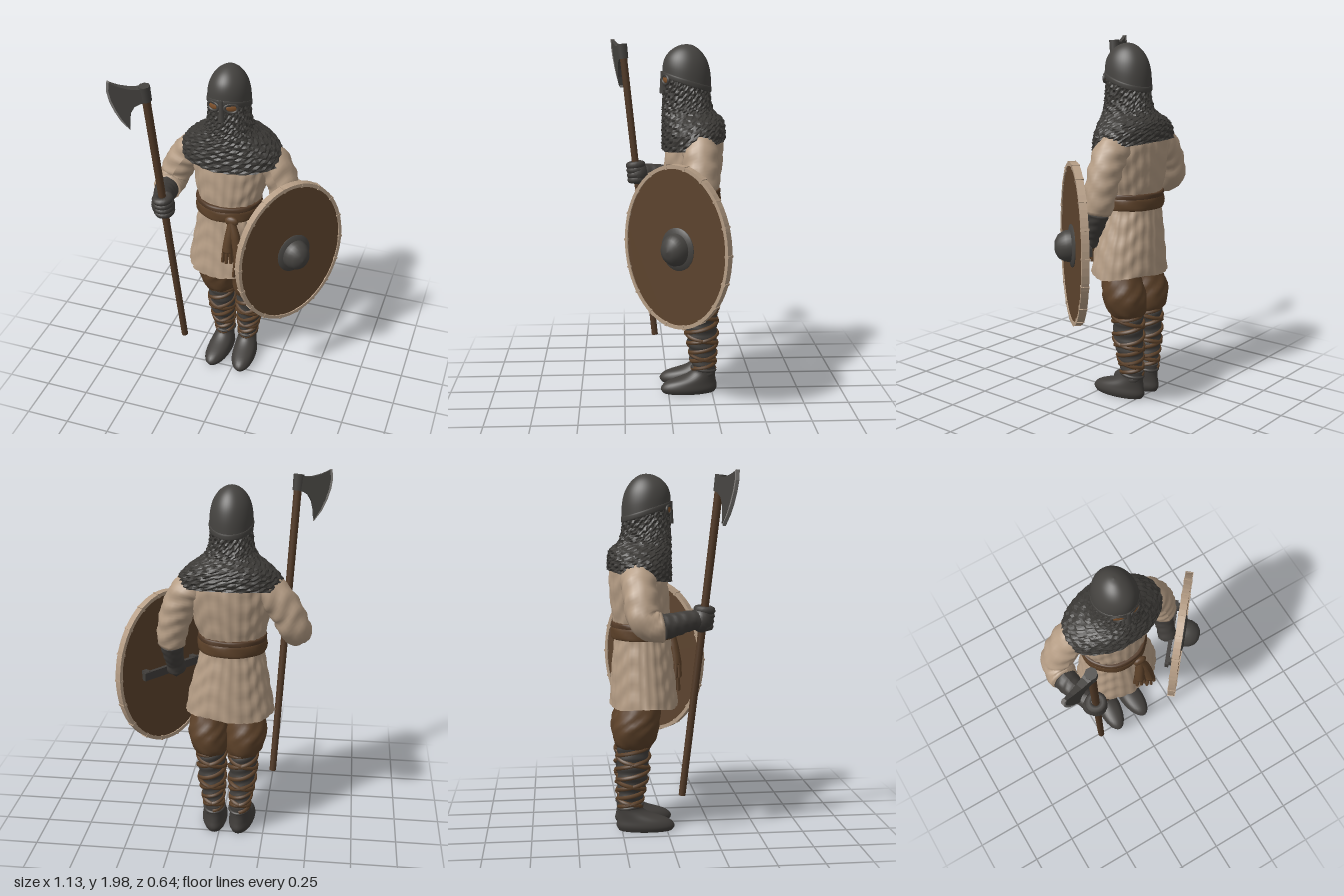
import * as THREE from 'three';

const paint = (name, color, extra = {}) => new THREE.MeshStandardMaterial({ name, color, ...extra });
const DS = { side: THREE.DoubleSide };
const V = (x, y, z) => new THREE.Vector3(x, y, z);
const CX = -0.05; // centre line of the body

// Catmull-Rom value through a list of rows, t in 0..1
function rowAt(rows, t) {
  const f = t * (rows.length - 1), i = Math.min(Math.floor(f), rows.length - 2), s = f - i;
  const at = k => rows[Math.max(0, Math.min(rows.length - 1, k))];
  const [a, b, c, d] = [at(i - 1), at(i), at(i + 1), at(i + 2)];
  return b.map((q, k) => q + 0.5 * s * (c[k] - a[k] + s * (2 * a[k] - 5 * q + 4 * c[k] - d[k] + s * (3 * (q - c[k]) + d[k] - a[k]))));
}

// Surface through horizontal ellipses [y, cx, cz, rx, rz], listed bottom to top
function loft(rows, { n = 40, steps = 24, bump = () => 0, lift = () => 0, capBottom = false, capTop = false, flat = false } = {}) {
  const pos = [], idx = [];
  for (let j = 0; j <= steps; j++) {
    const [y, cx, cz, rx, rz] = rowAt(rows, j / steps);
    for (let i = 0; i < n; i++) {
      const a = i / n * Math.PI * 2, b = bump(a, y);
      pos.push(cx + (rx + b) * Math.sin(a), y + lift(a, j / steps), cz + (rz + b) * Math.cos(a));
      if (j < steps) {
        const p = j * n + i, q = j * n + (i + 1) % n;
        idx.push(p, q, q + n, p, q + n, p + n);
      }
    }
  }
  const cap = (row, j, top) => {
    const c = pos.length / 3;
    pos.push(row[1], row[0], row[2]);
    for (let i = 0; i < n; i++) {
      const p = j * n + i, q = j * n + (i + 1) % n;
      top ? idx.push(c, p, q) : idx.push(c, q, p);
    }
  };
  if (capBottom) cap(rows[0], 0, false);
  if (capTop) cap(rows[rows.length - 1], steps, true);
  let g = new THREE.BufferGeometry();
  g.setAttribute('position', new THREE.Float32BufferAttribute(pos, 3));
  g.setIndex(idx);
  if (flat) g = g.toNonIndexed();
  g.computeVertexNormals();
  return g;
}

// Tube of changing radius through points [x, y, z, r], with optional folds
function limb(pts, { n = 18, steps = 32, fold = 0 } = {}) {
  const curve = new THREE.CatmullRomCurve3(pts.map(p => V(p[0], p[1], p[2])));
  const g = new THREE.TubeGeometry(curve, steps, 1, n), P = g.attributes.position, v = V();
  for (let k = 0; k < P.count; k++) {
    const u = Math.floor(k / (n + 1)) / steps, c = curve.getPointAt(u), a = (k % (n + 1)) / n * Math.PI * 2;
    const f = curve.getUtoTmapping(u) * (pts.length - 1), i = Math.min(Math.floor(f), pts.length - 2);
    const r = Math.max(0.001, THREE.MathUtils.lerp(pts[i][3], pts[i + 1][3], f - i)) * (1 + fold * Math.sin(u * 34 + 3 * Math.sin(a * 2)));
    v.fromBufferAttribute(P, k).sub(c).multiplyScalar(r).add(c);
    P.setXYZ(k, v.x, v.y, v.z);
  }
  g.computeVertexNormals();
  return g;
}

const poly = pts => new THREE.Shape(pts.map(p => new THREE.Vector2(p[0], p[1])));
const ellipse = (C, rx, ry) => new C().absellipse(0, 0, rx, ry, 0, Math.PI * 2);

export function createModel() {
  const model = new THREE.Group();
  const cloth = paint('quilted linen', 0xb59d85, DS), mail = paint('dark mail', 0x3b3936, DS), iron = paint('helmet iron', 0x454340);
  const glove = paint('dark leather', 0x413e3b), brown = paint('brown wool', 0x5c4129, DS), wood = paint('shield wood', 0x5c432d);
  const shaftWood = paint('shaft wood', 0x523a27), edge = paint('bright steel', 0x807d7a), skin = paint('skin', 0x80522c);
  const add = (name, geo, mat, parent = model) => {
    const m = new THREE.Mesh(geo, mat);
    m.name = name;
    parent.add(m);
    return m;
  };

  // Quilted tunic with vertical ridges and soft creases
  add('tunic', loft([[0.715, CX, -0.12, 0.246, 0.186], [0.85, CX, -0.124, 0.222, 0.176], [1.0, -0.058, -0.128, 0.188, 0.16],
    [1.12, -0.06, -0.128, 0.168, 0.15], [1.25, -0.055, -0.138, 0.198, 0.158], [1.4, CX, -0.15, 0.222, 0.156],
    [1.5, CX, -0.16, 0.21, 0.13], [1.6, CX, -0.14, 0.1, 0.09]], {
    n: 96, steps: 40, lift: (a, t) => t < 0.02 ? 0.01 * Math.sin(a * 3) : 0,
    bump: (a, y) => 0.006 * Math.sqrt(Math.abs(Math.cos(a * 12))) - 0.003 + 0.003 * Math.sin(y * 55 + 3 * Math.sin(a * 4)) }), cloth);

  // Mail hood falling over the shoulders, longest at the front
  add('mailHood', loft([[1.395, CX, -0.143, 0.284, 0.175], [1.47, CX, -0.143, 0.276, 0.174], [1.54, CX, -0.137, 0.222, 0.168],
    [1.6, CX, -0.115, 0.148, 0.145], [1.66, CX, -0.106, 0.12, 0.134], [1.74, CX, -0.104, 0.111, 0.127], [1.82, CX, -0.104, 0.106, 0.122]], {
    n: 72, steps: 36, flat: true, lift: (a, t) => 0.032 * (1 - Math.cos(a)) * Math.max(0, 1 - t * 1.8),
    bump: (a, y) => 0.004 * Math.sin(a * 23 + 5 * Math.sin(y * 70)) + 0.003 * Math.sin(y * 160 + a * 9) }), mail);

  // Helmet: dome, brow band, eye guards and nasal
  add('helmetDome', loft([[1.79, CX, -0.105, 0.116, 0.134], [1.85, CX, -0.105, 0.112, 0.131], [1.9, CX, -0.105, 0.097, 0.115],
    [1.94, CX, -0.105, 0.069, 0.082], [1.965, CX, -0.105, 0.033, 0.04], [1.972, CX, -0.105, 0.002, 0.002]],
  { n: 48, capTop: true, lift: (a, t) => (0.022 - 0.045 * (1 - Math.cos(a))) * (1 - t) * (1 - t) }), iron);
  add('browBand', loft([[1.797, CX, -0.105, 0.113, 0.131], [1.8, CX, -0.105, 0.118, 0.136], [1.824, CX, -0.105, 0.118, 0.136], [1.827, CX, -0.105, 0.111, 0.129]],
    { n: 48, steps: 9, lift: a => -0.042 * (1 - Math.cos(a)) }), iron);
  for (const s of [-1, 1]) {
    const eye = new THREE.Group();
    eye.name = s > 0 ? 'leftEyeOpening' : 'rightEyeOpening';
    eye.position.set(CX + s * 0.049, 1.783, 0.013);
    eye.rotation.set(0, s * 0.42, s * -0.12);
    model.add(eye);
    add('eyeSkin', new THREE.SphereGeometry(1, 16, 8), skin, eye).scale.set(0.03, 0.018, 0.007);
    add('eyeGuard', new THREE.TorusGeometry(0.034, 0.009, 8, 24), iron, eye).scale.set(1.02, 0.72, 0.9);
  }
  add('nasalGuard', new THREE.CylinderGeometry(0.012, 0.019, 0.12, 8), iron).position.set(CX, 1.766, 0.026);

  // Belt and sash
  const waist = (y0, y1, r) => loft([[y0, -0.06, -0.128, 0.17, 0.152], [y0 + 0.004, -0.06, -0.128, 0.17 + r, 0.152 + r],
    [y1 - 0.004, -0.06, -0.128, 0.17 + r, 0.152 + r], [y1, -0.06, -0.128, 0.17, 0.152]], { n: 48, steps: 12, bump: (a, y) => 0.002 * Math.sin(a * 7 + y * 90) });
  add('sash', waist(1.085, 1.15, 0.018), brown);
  add('belt', waist(1.14, 1.175, 0.016), shaftWood);
  const knot = add('sashKnot', new THREE.SphereGeometry(0.033, 14, 10), brown);
  knot.position.set(0.01, 1.105, 0.042);
  knot.scale.set(1.2, 0.9, 0.6);
  for (const [x, end] of [[-0.005, 0.92], [0.06, 0.83]]) {
    add('sashTail', limb([[0.01, 1.1, 0.042, 0.02], [(x + 0.01) / 2, 1.02, 0.055, 0.026], [x, end + 0.03, 0.065, 0.028], [x, end, 0.067, 0.031], [x, end - 0.005, 0.067, 0]]), brown);
    for (let i = 0; i < 7; i++) {
      const a = i / 7 * Math.PI * 2, dx = Math.sin(a) * 0.021, dz = Math.cos(a) * 0.017;
      add('tassel', limb([[x + dx, end + 0.01, 0.067 + dz, 0.012], [x + dx * 1.5, end - 0.07, 0.067 + dz * 1.4, 0.01]], { n: 6, steps: 3 }), brown);
    }
  }

  // Legs: baggy trousers, wrapped shins and shoes
  for (const s of [-1, 1]) {
    const leg = new THREE.Group();
    leg.name = s > 0 ? 'leftLeg' : 'rightLeg';
    model.add(leg);
    const x = o => -0.04 + s * o;
    add('trouserLeg', loft([[0.47, x(0.09), -0.185, 0.065, 0.07], [0.51, x(0.093), -0.18, 0.098, 0.11], [0.6, x(0.105), -0.172, 0.114, 0.126],
      [0.7, x(0.1), -0.15, 0.102, 0.114], [0.8, x(0.085), -0.135, 0.084, 0.1], [0.9, x(0.075), -0.13, 0.07, 0.09]],
    { n: 40, bump: (a, y) => 0.003 * Math.sin(a * 7 + 4 * Math.sin(y * 25)), capTop: true }), brown, leg);
    const shin = [[0.1, x(0.072), -0.205, 0.048, 0.06], [0.2, x(0.077), -0.2, 0.056, 0.068], [0.34, x(0.086), -0.19, 0.073, 0.086], [0.5, x(0.09), -0.185, 0.078, 0.088]];
    add('shinWrap', loft(shin, { steps: 40, bump: (a, y) => 0.004 * Math.sin(y * 110 + Math.sin(a) * 2) }), glove, leg);
    for (const [dir, phase] of [[1, 0], [-1, 0], [1, Math.PI]]) {
      const coil = Array.from({ length: 61 }, (_, i) => {
        const t = i / 60, [y, cx, cz, rx, rz] = rowAt(shin, 0.16 + 0.82 * t), a = dir * t * 6 * Math.PI + phase;
        return V(cx + rx * Math.sin(a), y, cz + rz * Math.cos(a));
      });
      add('legStrap', new THREE.TubeGeometry(new THREE.CatmullRomCurve3(coil), 110, 0.0125, 6), brown, leg);
    }
    const foot = new THREE.Group();
    foot.name = 'foot';
    foot.position.set(x(0.072), 0, -0.2);
    foot.rotation.y = s * 0.09;
    leg.add(foot);
    add('shoe', loft([[0.003, 0, 0.082, 0.062, 0.15], [0.03, 0, 0.082, 0.072, 0.163], [0.065, 0, 0.068, 0.067, 0.143], [0.1, 0, 0.02, 0.058, 0.09],
      [0.13, 0, -0.003, 0.053, 0.068], [0.165, 0, -0.004, 0.055, 0.066]], { n: 32, capBottom: true, capTop: true }), glove, foot);
    const cuff = add('shoeCuff', new THREE.TorusGeometry(0.055, 0.009, 8, 28), glove, foot);
    cuff.rotation.x = Math.PI / 2 - 0.15;
    cuff.scale.y = 1.18;
    cuff.position.set(0, 0.14, -0.003);
  }

  // Right arm reaches forward to the shaft, left arm hangs behind the shield
  add('rightSleeve', limb([[-0.17, 1.47, -0.165, 0.08], [-0.27, 1.415, -0.165, 0.094], [-0.35, 1.32, -0.16, 0.09], [-0.395, 1.22, -0.145, 0.086],
    [-0.405, 1.185, -0.09, 0.08], [-0.405, 1.185, -0.04, 0.077], [-0.405, 1.185, -0.035, 0]], { fold: 0.05 }), cloth);
  add('rightGauntlet', limb([[-0.404, 1.185, -0.06, 0], [-0.404, 1.185, -0.058, 0.07], [-0.392, 1.195, 0.01, 0.062], [-0.375, 1.21, 0.08, 0.055],
    [-0.35, 1.215, 0.15, 0.05], [-0.335, 1.215, 0.19, 0]], { fold: 0.03 }), glove);
  add('leftSleeve', limb([[0.07, 1.47, -0.165, 0.08], [0.165, 1.42, -0.165, 0.094], [0.233, 1.3, -0.163, 0.09], [0.265, 1.17, -0.158, 0.082],
    [0.272, 1.09, -0.148, 0.073], [0.272, 1.085, -0.148, 0]], { fold: 0.05 }), cloth);
  add('leftGauntlet', limb([[0.272, 1.11, -0.15, 0], [0.272, 1.108, -0.15, 0.067], [0.268, 1.03, -0.125, 0.055], [0.263, 0.97, -0.095, 0.05],
    [0.263, 0.92, -0.075, 0.055], [0.263, 0.87, -0.065, 0]], { fold: 0.03 }), glove);

  // Long axe, built upright with its top at the group origin
  const axe = new THREE.Group(), up = V(-0.098, 1.7, 0.18), length = up.length();
  axe.name = 'axe';
  up.normalize();
  const out = V(-0.955, 0, 0.3);
  out.addScaledVector(up, -out.dot(up)).normalize();
  axe.quaternion.setFromRotationMatrix(new THREE.Matrix4().makeBasis(out, up, V().crossVectors(out, up)));
  axe.position.set(-0.377, 1.945, 0.247);
  model.add(axe);
  add('shaft', new THREE.CylinderGeometry(0.022, 0.019, length, 10), shaftWood, axe).position.y = -length / 2;
  add('axeSocket', new THREE.CylinderGeometry(0.031, 0.029, 0.085, 8), iron, axe).position.y = -0.025;
  const blade = (name, pts, thick, mat) => {
    const g = new THREE.ExtrudeGeometry(poly(pts), { depth: 1, bevelEnabled: false }), P = g.attributes.position;
    for (let i = 0; i < P.count; i++) P.setZ(i, (P.getZ(i) - 0.5) * thick(P.getX(i)));
    g.computeVertexNormals();
    add(name, g, mat, axe);
  };
  blade('axeBlade', [[0, 0.012], [0.04, 0.008], [0.08, 0.012], [0.13, 0.028], [0.172, 0.05], [0.181, 0.005], [0.176, -0.05], [0.16, -0.11],
    [0.137, -0.165], [0.105, -0.222], [0.097, -0.17], [0.084, -0.125], [0.062, -0.092], [0.03, -0.074], [0, -0.068]], u => 0.05 - 0.2 * u, iron);
  blade('axeEdge', [[0.17, 0.052], [0.182, 0.056], [0.191, 0.005], [0.186, -0.05], [0.17, -0.112], [0.146, -0.17], [0.105, -0.232],
    [0.104, -0.218], [0.136, -0.163], [0.159, -0.11], [0.175, -0.05], [0.18, 0.005]], () => 0.02, edge);
  for (let i = 0; i < 4; i++) {
    const finger = add('finger', new THREE.TorusGeometry(0.037, 0.022, 8, 18), glove, axe);
    finger.rotation.x = Math.PI / 2;
    finger.position.y = -0.685 - i * 0.028;
  }
  const palm = add('rightPalm', new THREE.SphereGeometry(0.06, 18, 12), glove);
  palm.position.set(-0.342, 1.215, 0.16);
  palm.scale.set(1.1, 1.15, 1);

  // Oval shield, its face along local +z
  const shield = new THREE.Group();
  shield.name = 'shield';
  shield.position.set(0.325, 0.922, -0.032);
  shield.rotation.y = 0.871;
  model.add(shield);
  const slab = (shape, depth) => new THREE.ExtrudeGeometry(shape, { depth, bevelEnabled: false, curveSegments: 32 }).translate(0, 0, -depth / 2);
  add('shieldBoard', slab(ellipse(THREE.Shape, 0.328, 0.428), 0.028), wood, shield);
  const rim = ellipse(THREE.Shape, 0.342, 0.444);
  rim.holes.push(ellipse(THREE.Path, 0.324, 0.424));
  add('shieldRim', slab(rim, 0.04), cloth, shield);
  for (let i = 0; i < 18; i++) {
    const a = i / 18 * Math.PI * 2;
    const lace = add('rimLacing', new THREE.BoxGeometry(0.026, 0.012, 0.044), cloth, shield);
    lace.position.set(0.333 * Math.cos(a), 0.434 * Math.sin(a), 0);
    lace.rotation.z = a;
  }
  const profile = [[0.116, 0], [0.116, 0.008], [0.088, 0.016], [0.087, 0.016], [0.083, 0.045], [0.064, 0.076], [0.034, 0.093], [0, 0.098]];
  const boss = add('shieldBoss', new THREE.LatheGeometry(profile.map(p => new THREE.Vector2(p[0], p[1])), 28), iron, shield);
  boss.rotation.x = Math.PI / 2;
  boss.scale.x = 0.9;
  boss.position.set(0.018, -0.004, 0.013);
  add('shieldGrip', new THREE.BoxGeometry(0.4, 0.045, 0.022), glove, shield).position.set(0, 0, -0.05);
  for (const s of [-1, 1]) add('gripMount', new THREE.BoxGeometry(0.03, 0.05, 0.05), glove, shield).position.set(s * 0.17, 0, -0.03);
  return model;
}
